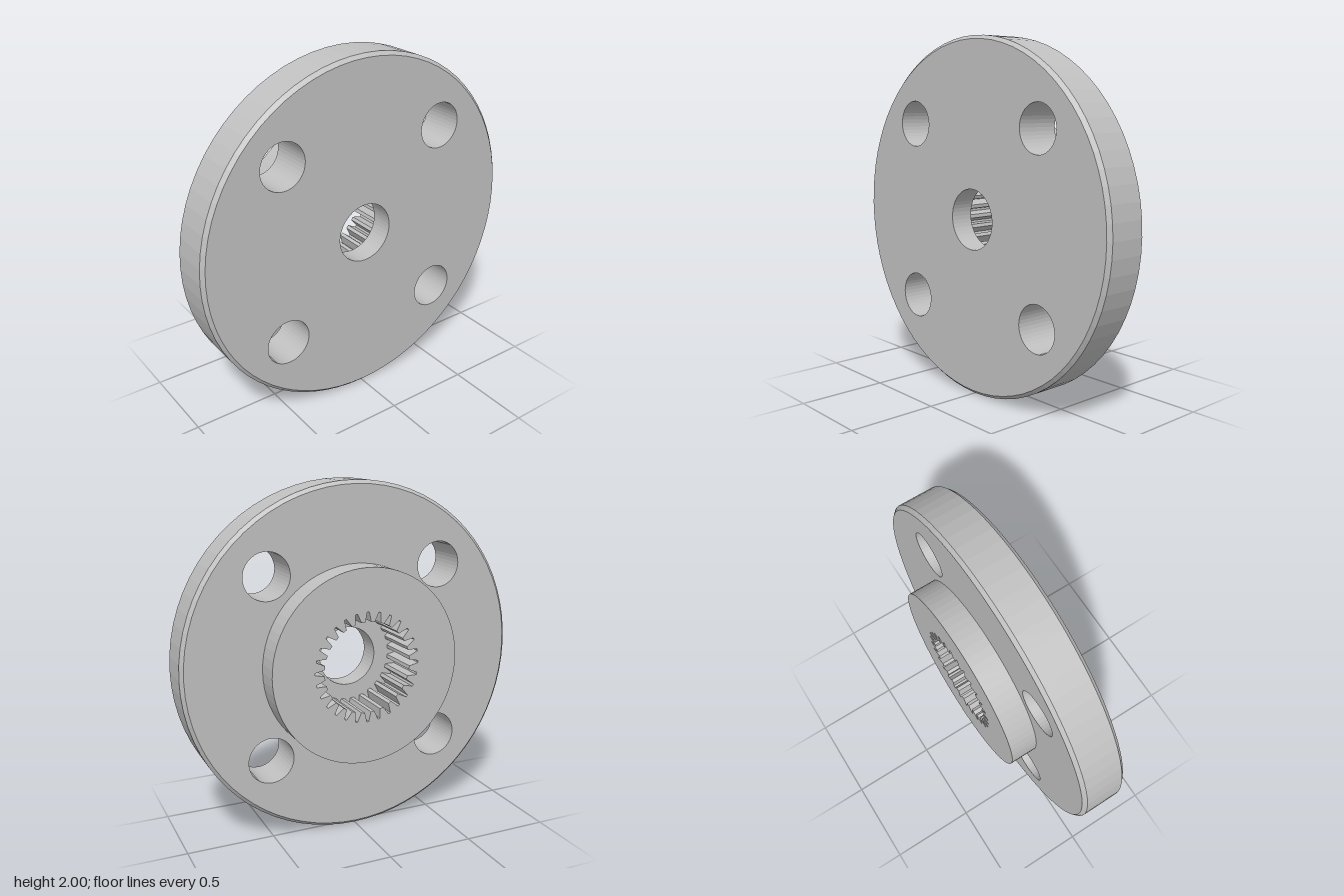
import * as THREE from 'three';

const FRONT = 0.205, FLANGE_BACK = -0.05, HUB_BACK = -0.205, FLOOR = 0.07;
const CHAMFER = 0.02, BORE_R = 0.17, HUB_R = 0.553, BOLT_R = 0.132, BOLT_POS = 0.515;

// Counter-clockwise loop of points round a circle
function circle(r, segments, cx = 0, cy = 0) {
  return Array.from({ length: segments }, (_, i) => {
    const a = (i / segments) * Math.PI * 2;
    return new THREE.Vector2(cx + r * Math.cos(a), cy + r * Math.sin(a));
  });
}

// Internal spline outline: tapered grooves cut outward from the tooth tips
function splineLoop(teeth, inner, outer) {
  const pts = [];
  const pitch = (Math.PI * 2) / teeth;
  for (let i = 0; i < teeth; i++) {
    for (const [t, r] of [[-0.32, inner], [-0.19, (inner + outer) / 2], [-0.09, outer],
      [0.09, outer], [0.19, (inner + outer) / 2], [0.32, inner]]) {
      const a = (i + t) * pitch;
      pts.push(new THREE.Vector2(r * Math.cos(a), r * Math.sin(a)));
    }
  }
  return pts;
}

// Flat-faceted wall between two loops; it faces outward when z rises, inward when z falls
function wall(loopA, zA, loopB, zB) {
  const pos = [];
  loopA.forEach((a, i) => {
    const j = (i + 1) % loopA.length;
    const a2 = loopA[j], b = loopB[i], b2 = loopB[j];
    pos.push(a.x, a.y, zA, a2.x, a2.y, zA, b2.x, b2.y, zB);
    pos.push(a.x, a.y, zA, b2.x, b2.y, zB, b.x, b.y, zB);
  });
  const g = new THREE.BufferGeometry();
  g.setAttribute('position', new THREE.Float32BufferAttribute(pos, 3));
  g.computeVertexNormals();
  return g;
}

// Flat face with holes, turned to the front or to the back
function face(outline, holes, z, back = false) {
  const shape = new THREE.Shape(outline);
  shape.holes = holes.map((h) => new THREE.Path(h));
  const g = new THREE.ShapeGeometry(shape);
  if (back) g.rotateY(Math.PI);
  return g.translate(0, 0, z);
}

export function createModel() {
  const steel = new THREE.MeshStandardMaterial({ color: 0xc0c0c0 });
  steel.name = 'steel grey';
  const model = new THREE.Group();
  model.name = 'splinedFlange';

  const part = (name, ...geometries) => {
    const group = new THREE.Group();
    group.name = name;
    for (const g of geometries) {
      const mesh = new THREE.Mesh(g, steel);
      mesh.name = name + 'Surface';
      group.add(mesh);
    }
    model.add(group);
  };

  const rim = circle(1, 72), edge = circle(1 - CHAMFER, 72);
  const hub = circle(HUB_R, 72), bore = circle(BORE_R, 48);
  const spline = splineLoop(28, 0.257, 0.312);
  const bolts = [];
  for (const sx of [-1, 1]) {
    for (const sy of [-1, 1]) bolts.push(circle(BOLT_R, 40, sx * BOLT_POS, sy * BOLT_POS));
  }

  // Flange disc with chamfered rim
  part('flange',
    face(edge, [...bolts, bore], FRONT),
    face(edge, [...bolts, hub], FLANGE_BACK, true),
    wall(edge, FLANGE_BACK, rim, FLANGE_BACK + CHAMFER),
    wall(rim, FLANGE_BACK + CHAMFER, rim, FRONT - CHAMFER),
    wall(rim, FRONT - CHAMFER, edge, FRONT));

  // Four through holes
  part('boltHoles', ...bolts.map((b) => wall(b, FRONT, b, FLANGE_BACK)));

  // Raised hub on the back
  part('hub',
    wall(hub, HUB_BACK, hub, FLANGE_BACK),
    face(hub, [spline], HUB_BACK, true));

  // Toothed socket and the step at its floor
  part('splineSocket',
    wall(spline, FLOOR, spline, HUB_BACK),
    face(spline, [bore], FLOOR, true));

  // Plain bore through to the front
  part('centreBore', wall(bore, FRONT, bore, FLOOR));

  model.position.y = 1;
  const root = new THREE.Group();
  root.name = 'flangeCoupling';
  root.add(model);
  return root;
}
